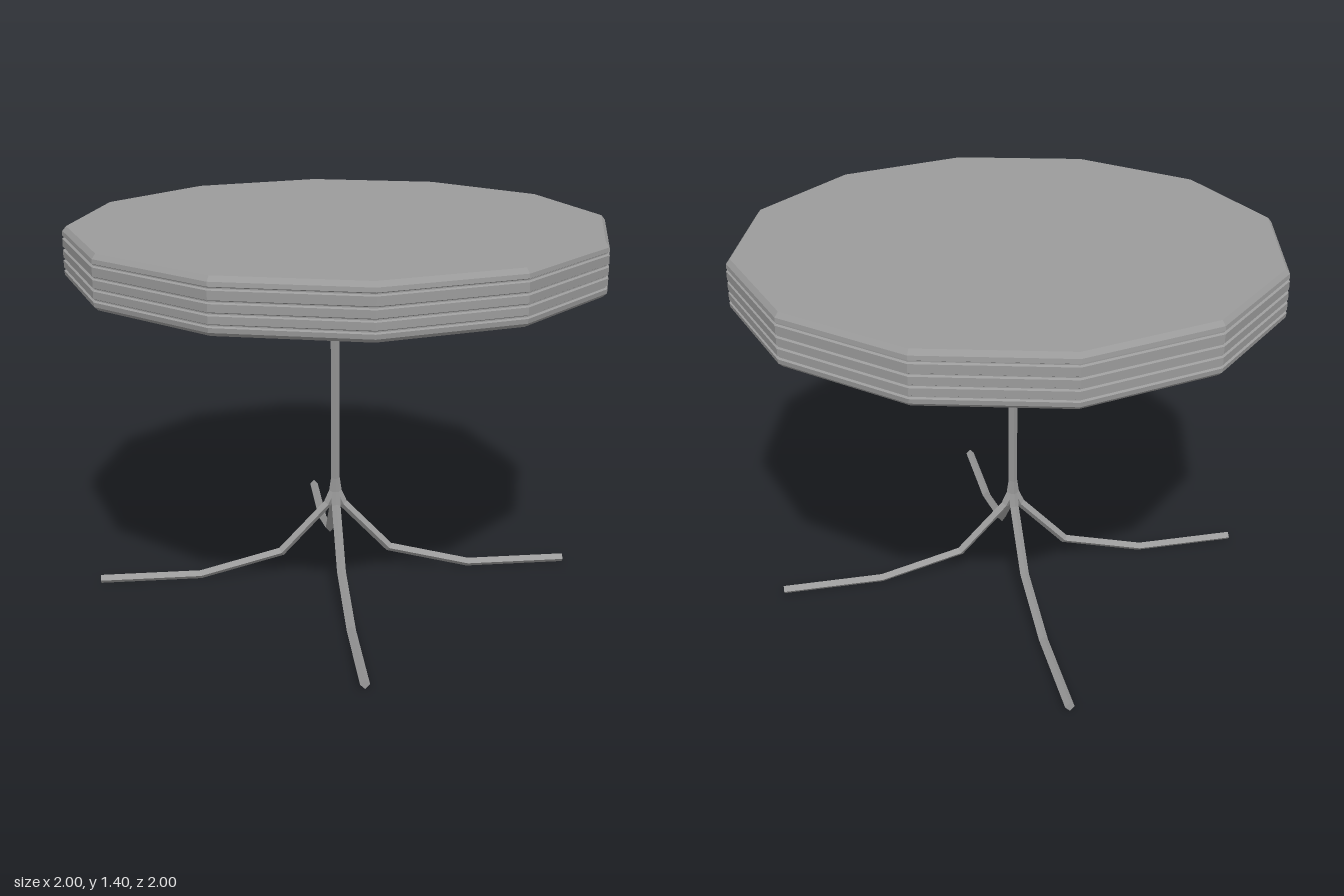
import * as THREE from 'three';

const SIDES = 4;
const ROD = 0.017;
const CENTRE_X = -0.015;

// Sweep a square rod, corners up and down, along a path in the XY plane with mitred joints and closed ends
function sweepRod(path) {
  const pos = [], idx = [];
  const pts = path.map(([x, y]) => new THREE.Vector2(x, y));
  pts.forEach((p, i) => {
    const a = pts[Math.max(i - 1, 0)], b = pts[Math.min(i + 1, pts.length - 1)];
    const dIn = (i > 0 ? p.clone().sub(a) : b.clone().sub(p)).normalize();
    const dOut = (i < pts.length - 1 ? b.clone().sub(p) : dIn.clone()).normalize();
    const t = dIn.clone().add(dOut).normalize();
    const n = new THREE.Vector2(-t.y, t.x);
    const stretch = 1 / t.dot(dIn);
    for (let k = 0; k < SIDES; k++) {
      const ang = (k / SIDES) * Math.PI * 2;
      const off = Math.cos(ang) * ROD * stretch;
      pos.push(p.x + n.x * off, p.y + n.y * off, Math.sin(ang) * ROD);
    }
  });
  for (let i = 0; i < pts.length - 1; i++) {
    for (let k = 0; k < SIDES; k++) {
      const a = i * SIDES + k, b = i * SIDES + (k + 1) % SIDES;
      idx.push(a, a + SIDES, b, b, a + SIDES, b + SIDES);
    }
  }
  const last = (pts.length - 1) * SIDES;
  for (let k = 1; k < SIDES - 1; k++) {
    idx.push(0, k, k + 1, last, last + k + 1, last + k);
  }
  const g = new THREE.BufferGeometry();
  g.setAttribute('position', new THREE.Float32BufferAttribute(pos, 3));
  g.setIndex(idx);
  g.computeVertexNormals();
  return g;
}

export function createModel() {
  const model = new THREE.Group();
  model.name = 'pedestalTable';
  const material = new THREE.MeshStandardMaterial({
    color: 0x9b9b9b, flatShading: true, side: THREE.DoubleSide,
  });
  const add = (name, geometry) => {
    const mesh = new THREE.Mesh(geometry, material);
    mesh.name = name;
    model.add(mesh);
    return mesh;
  };

  // Twelve-sided top: flat bands parted by thin grooves, with bevelled rims
  const profile = [[0, 1.215], [0.982, 1.215], [0.996, 1.228]];
  for (const y of [1.25, 1.287, 1.325, 1.367]) {
    profile.push([0.998, y - 0.006], [0.99, y - 0.002], [0.99, y + 0.002], [0.998, y + 0.006]);
  }
  profile.push([0.996, 1.388], [0.982, 1.405], [0, 1.405]);
  add('tableTop', new THREE.LatheGeometry(profile.map(([r, y]) => new THREE.Vector2(r, y)), 12));

  // Central post
  const post = add('post', new THREE.CylinderGeometry(ROD, ROD, 0.86, SIDES));
  post.position.set(CENTRE_X, 0.79, 0);

  // Four bent legs spreading along the axes
  const legGeometry = sweepRod([
    [0, 0.4], [0.008, 0.345], [0.03, 0.295], [0.213, 0.1], [0.53, 0.018], [0.917, 0.018],
  ]);
  ['left', 'back', 'right', 'front'].forEach((side, i) => {
    const leg = add(side + 'Leg', legGeometry);
    leg.position.x = CENTRE_X;
    leg.rotation.y = (i * Math.PI) / 2;
  });

  return model;
}
